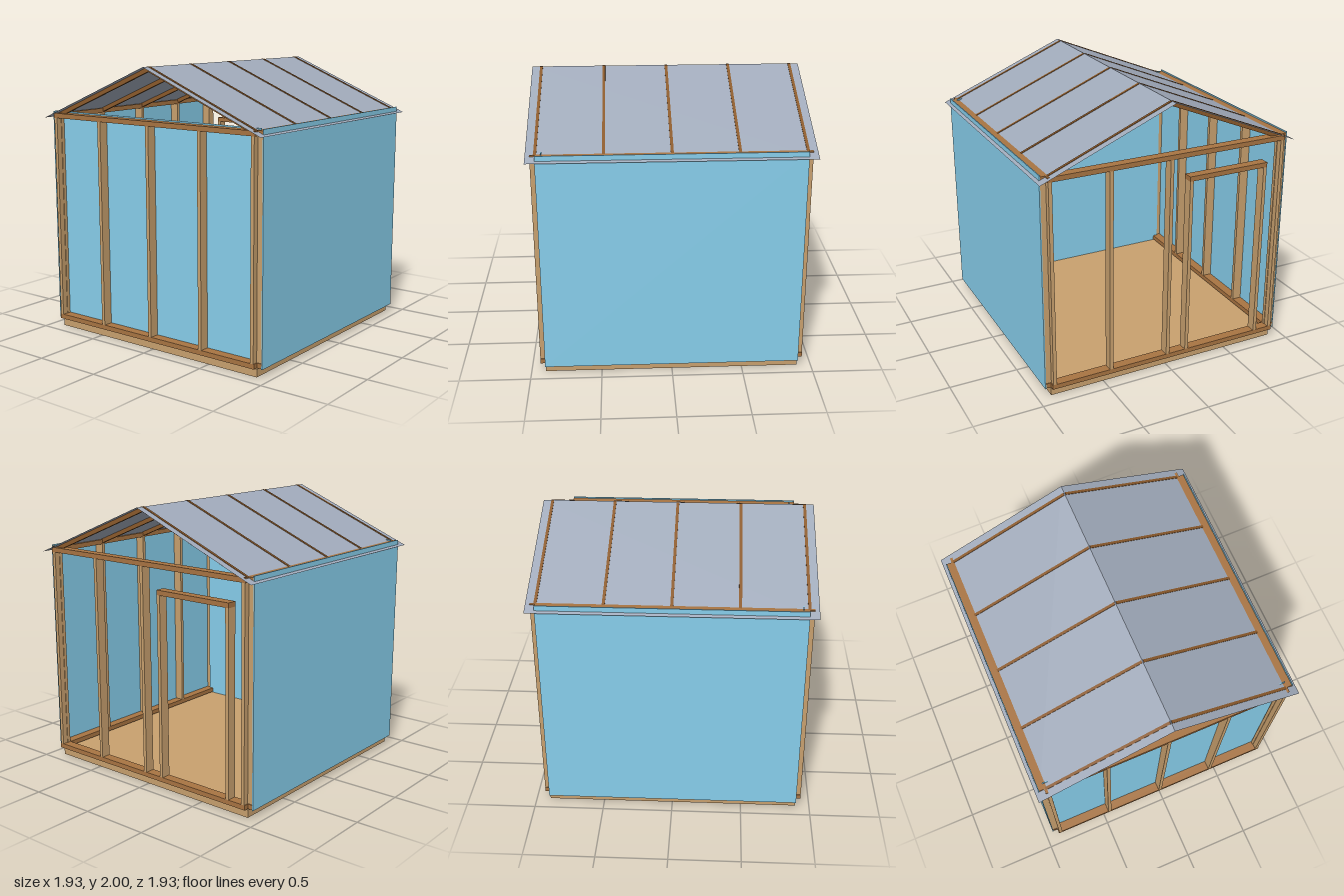
import * as THREE from 'three';

const material = (color) => new THREE.MeshStandardMaterial({ color });

export function createModel() {
  const model = new THREE.Group();
  const wood = material(0xc8a06e);
  const plateWood = material(0xa87442);
  const rafterWood = material(0x8b5a2b);
  const panelBlue = material(0x87ceeb);
  const roofGrey = material(0xa0aaba);
  roofGrey.side = THREE.DoubleSide;

  const W = 0.9;          // half width of the frame
  const DEPTH = 0.07;     // timber depth
  const THICK = 0.026;    // timber thickness
  const PLATE_BOTTOM = 0.065, STUD_BOTTOM = 0.1, STUD_TOP = 1.595, PLATE_TOP = 1.63;

  // Box given by its limits on each axis
  const block = (parent, name, mat, [x0, x1], [y0, y1], [z0, z1]) => {
    const mesh = new THREE.Mesh(new THREE.BoxGeometry(x1 - x0, y1 - y0, z1 - z0), mat);
    mesh.position.set((x0 + x1) / 2, (y0 + y1) / 2, (z0 + z1) / 2);
    mesh.name = name;
    parent.add(mesh);
    return mesh;
  };

  // Floor slab
  block(model, 'floor', wood, [-W, W], [0, 0.056], [-W, W]);

  // Wall frame built along x, centred on z = 0
  const wallFrame = (name, studs) => {
    const wall = new THREE.Group();
    wall.name = name;
    const deep = [-DEPTH / 2, DEPTH / 2];
    block(wall, 'bottomPlate', plateWood, [-W, W], [PLATE_BOTTOM, STUD_BOTTOM], deep);
    block(wall, 'topPlate', plateWood, [-W, W], [STUD_TOP, PLATE_TOP], deep);
    for (const x of studs)
      block(wall, 'stud', wood, [x - THICK / 2, x + THICK / 2], [STUD_BOTTOM, STUD_TOP], deep);
    model.add(wall);
    return wall;
  };

  const allStuds = [-0.882, -0.45, 0, 0.45, 0.882];
  wallFrame('frontWall', allStuds).position.z = W;

  // Back wall has a framed doorway in place of one stud
  const back = wallFrame('backWall', allStuds.filter((x) => x !== -0.45));
  back.position.z = -W;
  const deep = [-DEPTH / 2, DEPTH / 2];
  for (const x of [-0.155, -0.75])
    block(back, 'doorStud', wood, [x - THICK / 2, x + THICK / 2], [STUD_BOTTOM, 1.415], deep);
  block(back, 'doorHeader', plateWood, [-0.765, -0.14], [1.415, 1.45], deep);

  // Side walls with outer panels
  for (const s of [-1, 1]) {
    const side = wallFrame(s > 0 ? 'leftWall' : 'rightWall', allStuds);
    side.rotation.y = s * Math.PI / 2;
    side.position.x = s * W;
    block(side, 'sidePanel', panelBlue, [-W, W], [0.06, 1.64], [0.035, 0.042]);
  }

  // Front panel lines the inner face of the front studs
  block(model, 'frontPanel', panelBlue, [-W, W], [0.06, 1.64], [0.857, 0.864]);

  // Roof slopes and the rafters that show on both faces of them
  const pitch = Math.PI / 8;
  const roof = new THREE.Group();
  roof.name = 'roof';
  model.add(roof);
  for (const s of [-1, 1]) {
    const slope = new THREE.Group();
    slope.name = s > 0 ? 'leftSlope' : 'rightSlope';
    slope.position.y = 1.995;
    slope.rotation.set(0, s > 0 ? 0 : Math.PI, -pitch);
    slope.rotation.order = 'YXZ';
    roof.add(slope);

    const length = 0.965 / Math.cos(pitch);
    const sheet = new THREE.Mesh(new THREE.PlaneGeometry(length, 1.93), roofGrey);
    sheet.name = 'roofSheet';
    sheet.rotation.x = -Math.PI / 2;
    sheet.position.x = length / 2;
    slope.add(sheet);

    for (let i = -2; i <= 2; i++)
      block(slope, 'rafter', rafterWood, [0.005, 0.965], [-0.03, 0.004], [i * 0.45 - 0.01, i * 0.45 + 0.01]);
  }
  return model;
}
